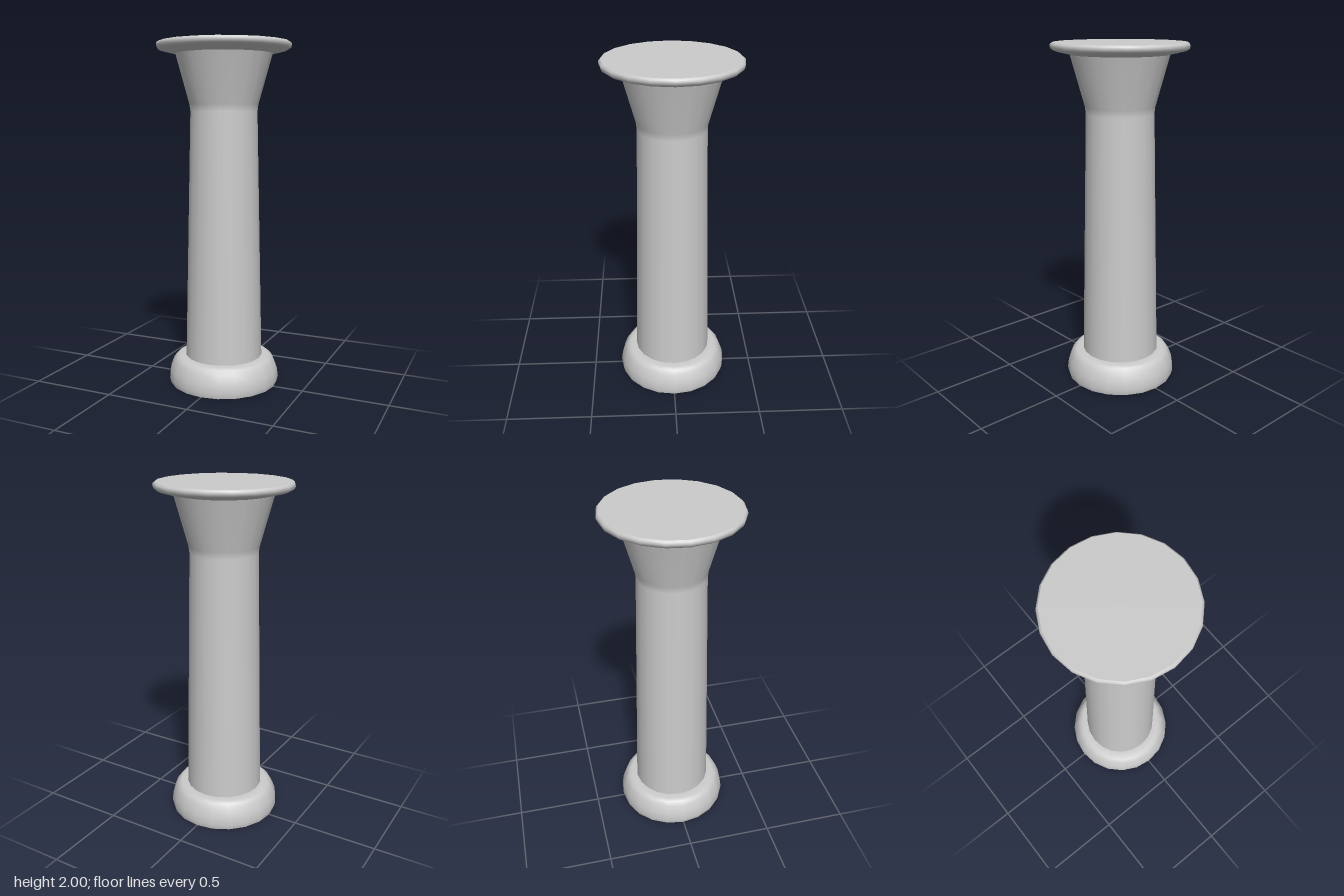
import * as THREE from 'three';

const SIDES = 20;
const material = new THREE.MeshStandardMaterial({ color: 0xcccccc });

// One turned part: each section is smooth, with a sharp edge between sections
function turned(name, sections) {
  const part = new THREE.Group();
  part.name = name;
  sections.forEach((points, i) => {
    const profile = points.map(([r, y]) => new THREE.Vector2(r, y));
    const mesh = new THREE.Mesh(new THREE.LatheGeometry(profile, SIDES), material);
    mesh.name = `${name}Section${i + 1}`;
    part.add(mesh);
  });
  return part;
}

export function createModel() {
  const column = new THREE.Group();
  column.name = 'column';

  // Rounded foot with a flat underside
  column.add(turned('base', [
    [[0, 0], [0.322, 0]],
    [[0.322, 0], [0.329, 0.03], [0.322, 0.08], [0.303, 0.13], [0.285, 0.153], [0.265, 0.163], [0.226, 0.163]],
  ]));

  // Tapering shaft that flares out under the cap
  column.add(turned('shaft', [
    [[0.228, 0.163], [0.195, 1.61], [0.2, 1.65], [0.279, 1.935]],
  ]));

  // Thin round cap with a softened rim and a flat top
  column.add(turned('cap', [
    [[0.279, 1.935], [0.31, 1.942], [0.365, 1.955], [0.382, 1.965], [0.388, 1.98], [0.385, 1.992], [0.376, 2]],
    [[0.376, 2], [0, 2]],
  ]));

  return column;
}
